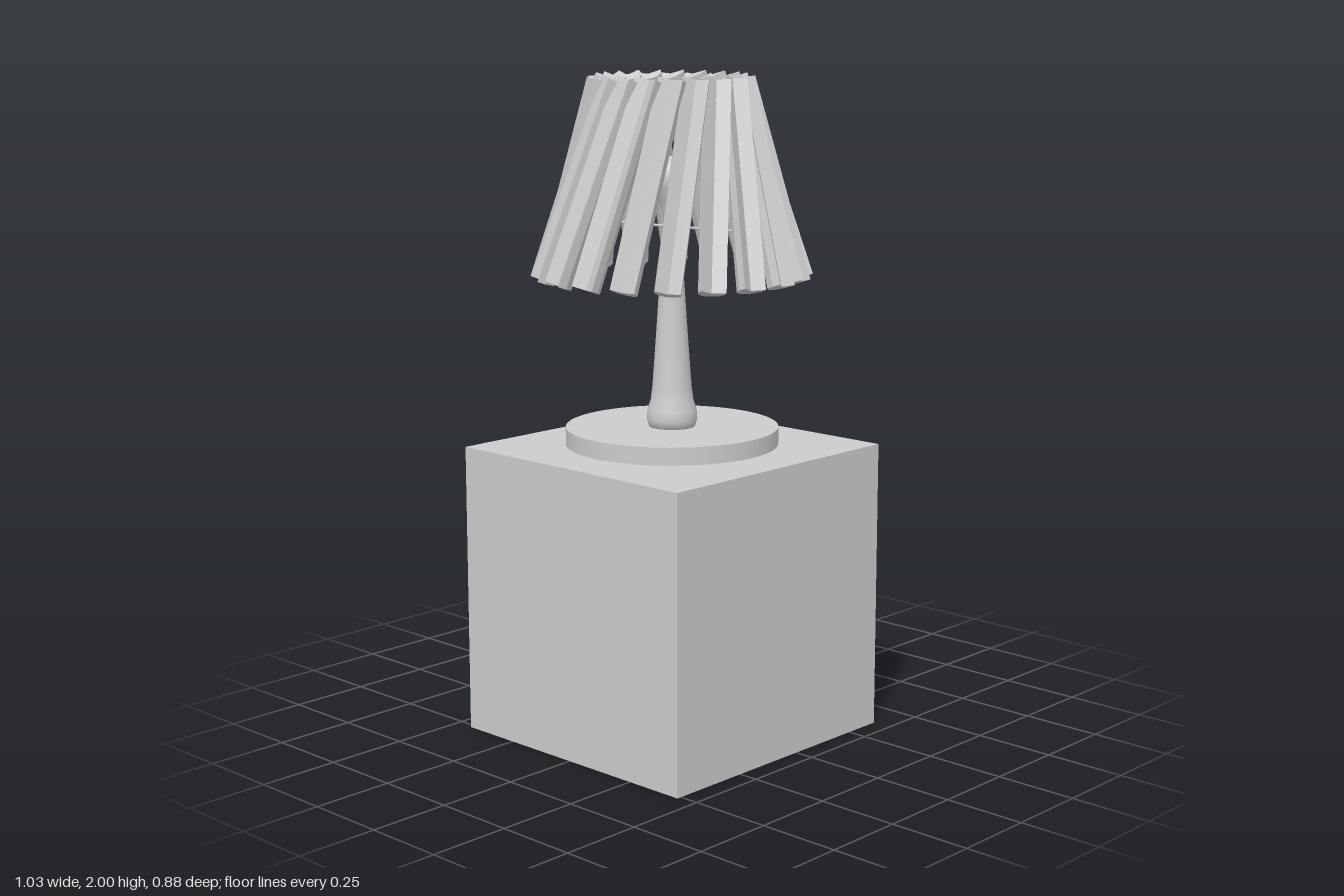
import * as THREE from 'three';

const CX = -0.08, CZ = 0.005; // lamp axis
const SLATS = 20;

function mat(options = {}) {
  return new THREE.MeshStandardMaterial({ color: 0xcccccc, ...options });
}

function addMesh(parent, name, geometry, x = 0, y = 0, z = 0, flat = false) {
  const mesh = new THREE.Mesh(geometry, mat({ flatShading: flat }));
  mesh.name = name;
  mesh.position.set(x, y, z);
  parent.add(mesh);
  return mesh;
}

function lathe(points, segments = 40) {
  return new THREE.LatheGeometry(points.map(([r, y]) => new THREE.Vector2(r, y)), segments);
}

function rectangle(path, x0, y0, x1, y1) {
  path.moveTo(x0, y0);
  path.lineTo(x1, y0);
  path.lineTo(x1, y1);
  path.lineTo(x0, y1);
  path.closePath();
  return path;
}

function createCabinet() {
  const cabinet = new THREE.Group();
  cabinet.name = 'cabinet';

  // Body with an open compartment facing +x
  const face = rectangle(new THREE.Shape(), -0.44, 0, 0.44, 0.885);
  face.holes.push(rectangle(new THREE.Path(), -0.33, 0.07, 0.33, 0.49));
  const shell = new THREE.ExtrudeGeometry(face, { depth: 0.815, bevelEnabled: false });
  shell.rotateY(Math.PI / 2);
  addMesh(cabinet, 'cabinetBody', shell, -0.445, 0, 0, true);
  addMesh(cabinet, 'cabinetBack', new THREE.BoxGeometry(0.07, 0.885, 0.88), -0.48, 0.4425, 0, true);

  // Drawer front with a chamfered edge
  const b = 0.015;
  const panel = rectangle(new THREE.Shape(), -0.325 + b, 0.58 + b, 0.325 - b, 0.81 - b);
  const drawer = new THREE.ExtrudeGeometry(panel, {
    depth: 0.035, bevelEnabled: true, bevelSize: b, bevelThickness: 0.012, bevelSegments: 2,
  });
  drawer.rotateY(Math.PI / 2);
  addMesh(cabinet, 'drawerFront', drawer, 0.367, 0, 0);

  // Knob and its neck
  const neck = new THREE.CylinderGeometry(0.017, 0.017, 0.05, 20);
  neck.rotateZ(Math.PI / 2);
  addMesh(cabinet, 'knobNeck', neck, 0.433, 0.7, -0.005);
  addMesh(cabinet, 'knob', new THREE.SphereGeometry(0.037, 28, 18), 0.475, 0.7, -0.005);
  return cabinet;
}

// Rounded slat section with a V groove on its outer side (+y)
function slatGeometry(length) {
  const s = new THREE.Shape();
  const points = [[0, 0.004], [-0.037, 0.026], [-0.039, 0], [-0.028, -0.026], [-0.01, -0.038],
    [0.01, -0.038], [0.028, -0.026], [0.039, 0], [0.037, 0.026]];
  s.setFromPoints(points.map(([x, y]) => new THREE.Vector2(x, y)));
  return new THREE.ExtrudeGeometry(s, { depth: length, bevelEnabled: false });
}

function createShade() {
  const shade = new THREE.Group();
  shade.name = 'lampShade';
  const ring = (radius, angle, y) =>
    new THREE.Vector3(CX + radius * Math.cos(angle), y, CZ + radius * Math.sin(angle));
  const deg = Math.PI / 180;
  let geometry;
  for (let i = 0; i < SLATS; i++) {
    // Each slat leans inward and twists about the lamp axis
    const a = (-24 + (i * 360) / SLATS) * deg;
    const bottom = ring(0.393, a, 1.402);
    const top = ring(0.21, a - 21 * deg, 1.987);
    const along = top.clone().sub(bottom);
    geometry ??= slatGeometry(along.length());
    along.normalize();
    const out = new THREE.Vector3(Math.cos(a), 0, Math.sin(a));
    out.addScaledVector(along, -out.dot(along)).normalize();
    const side = out.clone().cross(along);
    const slat = addMesh(shade, 'shadeSlat', geometry, bottom.x, bottom.y, bottom.z, true);
    slat.quaternion.setFromRotationMatrix(new THREE.Matrix4().makeBasis(side, out, along));
  }
  return shade;
}

function createLamp() {
  const lamp = new THREE.Group();
  lamp.name = 'lamp';
  addMesh(lamp, 'lampBase', new THREE.CylinderGeometry(0.32, 0.32, 0.053, 64), CX, 0.922, CZ);

  // Tapered stem with a flared foot
  addMesh(lamp, 'lampStem', lathe([[0, 0.945], [0.068, 0.945], [0.076, 0.97], [0.074, 1.0],
    [0.064, 1.03], [0.059, 1.07], [0.048, 1.22], [0.036, 1.4], [0.027, 1.55], [0.027, 1.56],
    [0, 1.56]]), CX, 0, CZ);
  addMesh(lamp, 'bulb', lathe([[0.024, 1.555], [0.026, 1.59], [0.04, 1.63], [0.058, 1.665],
    [0.063, 1.695], [0.056, 1.727], [0.035, 1.75], [0, 1.758]]), CX, 0, CZ);

  // Thin rod that carries the shade
  const rod = new THREE.CylinderGeometry(0.004, 0.004, 0.7, 8);
  rod.rotateX(Math.PI / 2);
  rod.rotateY(0.15);
  addMesh(lamp, 'shadeRod', rod, CX, 1.55, CZ);
  lamp.add(createShade());
  return lamp;
}

export function createModel() {
  const model = new THREE.Group();
  model.name = 'bedsideCabinetWithLamp';
  model.add(createCabinet(), createLamp());
  return model;
}
